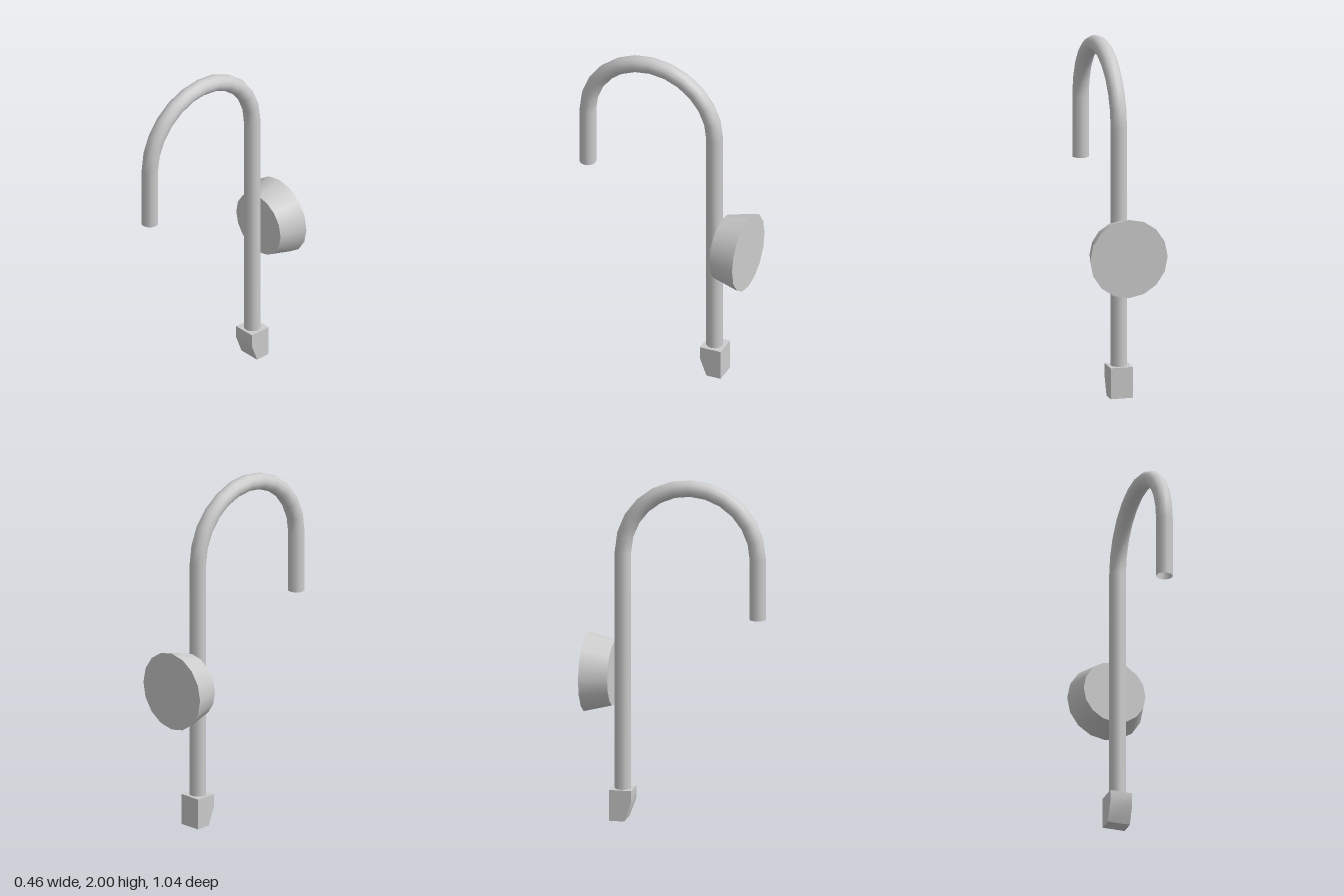
import * as THREE from 'three';
import { toCreasedNormals } from 'three/addons/utils/BufferGeometryUtils.js';

const BACK_Z = -0.312;   // upright centre line
const ARC_Z = 0.08;      // bend centre
const ARC_Y = 1.56;
const BEND_R = 0.392;
const PIPE_R = 0.048;
const BEND_STEPS = 12;

// Cane-shaped path: upright, half-circle bend, short drop at the front
class CanePath extends THREE.Curve {
  constructor() {
    super();
    this.nodes = [[new THREE.Vector3(0, 0.17, BACK_Z), new THREE.Vector3(0, 1, 0)]];
    for (let i = 0; i <= BEND_STEPS; i++) {
      const a = Math.PI * i / BEND_STEPS;
      this.nodes.push([
        new THREE.Vector3(0, ARC_Y + BEND_R * Math.sin(a), ARC_Z - BEND_R * Math.cos(a)),
        new THREE.Vector3(0, Math.cos(a), Math.sin(a)),
      ]);
    }
    this.nodes.push([new THREE.Vector3(0, 1.21, ARC_Z + BEND_R), new THREE.Vector3(0, -1, 0)]);
  }
  node(u) { return this.nodes[Math.round(u * (this.nodes.length - 1))]; }
  getPointAt(u, target = new THREE.Vector3()) { return target.copy(this.node(u)[0]); }
  getTangentAt(u, target = new THREE.Vector3()) { return target.copy(this.node(u)[1]); }
}

export function createModel() {
  const model = new THREE.Group();
  const grey = new THREE.MeshStandardMaterial({ color: 0xcccccc });
  const greyOpen = new THREE.MeshStandardMaterial({ color: 0xcccccc, side: THREE.DoubleSide });

  const add = (name, geometry, material = grey) => {
    const mesh = new THREE.Mesh(geometry, material);
    mesh.name = name;
    model.add(mesh);
    return mesh;
  };

  // Bent pipe, open at the mouth
  const path = new CanePath();
  add('pipe', new THREE.TubeGeometry(path, path.nodes.length - 1, PIPE_R, 12, false), greyOpen);

  // Flared wall mount behind the upright
  const mount = new THREE.CylinderGeometry(0.186, 0.228, 0.16, 16);
  mount.rotateX(Math.PI / 2);
  add('wallMount', mount).position.set(0, 0.848, -0.44);

  // Foot block with its lower front tapered; profile is (-z, y)
  const profile = new THREE.Shape([
    [0.25, 0.18], [0.25, 0.105], [0.29, 0], [0.378, 0], [0.378, 0.18],
  ].map(([x, y]) => new THREE.Vector2(x, y)));
  const foot = new THREE.ExtrudeGeometry(profile, { depth: 0.132, bevelEnabled: false });
  foot.translate(0, 0, -0.066).rotateY(Math.PI / 2);
  add('footBlock', toCreasedNormals(foot, Math.PI / 6));

  return model;
}
